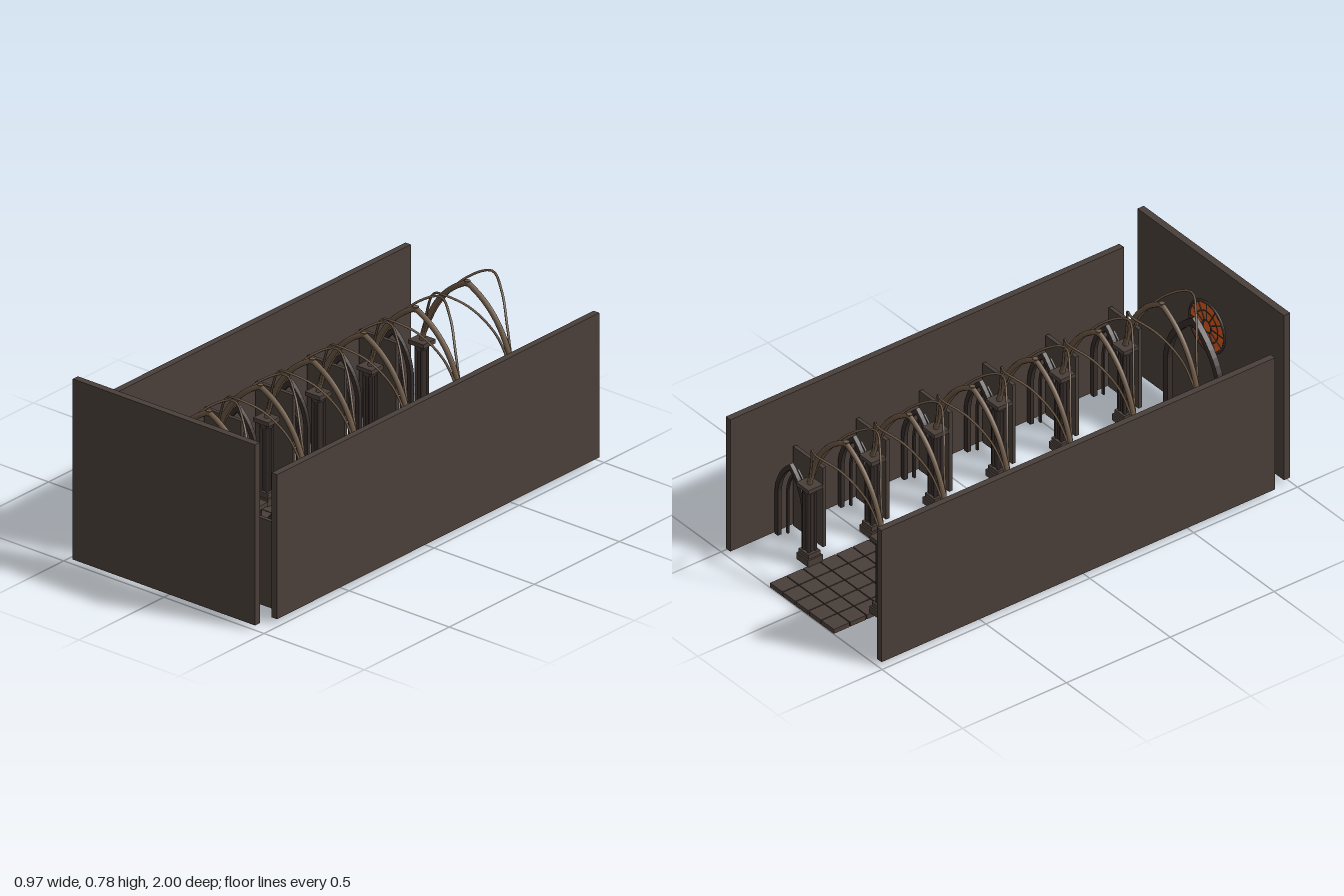
import * as THREE from 'three';

const mat = (color) => new THREE.MeshStandardMaterial({ color });
const stone = mat(0x4a3f3a), dark = mat(0x362d2a), rib = mat(0x6b5744), wood = mat(0x5a4028), glow = mat(0xd9571c);

function add(parent, name, geometry, material, x = 0, y = 0, z = 0) {
  const mesh = new THREE.Mesh(geometry, material);
  mesh.name = name;
  mesh.position.set(x, y, z);
  parent.add(mesh);
  return mesh;
}
const box = (parent, name, m, w, h, d, x, y, z) => add(parent, name, new THREE.BoxGeometry(w, h, d), m, x, y, z);
const cyl = (parent, name, m, r0, r1, h, x, y, z, n = 12) => add(parent, name, new THREE.CylinderGeometry(r0, r1, h, n), m, x, y, z);

// Traces a pointed arch outline from the left foot over the apex to the right foot
function tracePointed(path, half, spring, top) {
  path.moveTo(-half, 0);
  path.lineTo(-half, spring);
  path.quadraticCurveTo(-half * 0.9, spring + (top - spring) * 0.6, 0, top);
  path.quadraticCurveTo(half * 0.9, spring + (top - spring) * 0.6, half, spring);
  path.lineTo(half, 0);
}

// Open-bottomed pointed frame, centred on z = 0
function pointedFrame(half, spring, top, band, depth) {
  const s = new THREE.Shape();
  tracePointed(s, half, spring, top);
  const i = half - band, t = top - band * 1.3;
  s.lineTo(i, 0);
  s.lineTo(i, spring);
  s.quadraticCurveTo(i * 0.9, spring + (t - spring) * 0.6, 0, t);
  s.quadraticCurveTo(-i * 0.9, spring + (t - spring) * 0.6, -i, spring);
  s.lineTo(-i, 0);
  s.closePath();
  const g = new THREE.ExtrudeGeometry(s, { depth, bevelEnabled: false, curveSegments: 10 });
  return g.translate(0, 0, -depth / 2);
}

// Clustered column with stepped base and capital
function column() {
  const g = new THREE.Group();
  g.name = 'column';
  box(g, 'plinth', stone, 0.074, 0.03, 0.07, 0, 0.035, 0);
  box(g, 'baseStep', stone, 0.06, 0.02, 0.058, 0, 0.06, 0);
  cyl(g, 'shaft', dark, 0.018, 0.018, 0.27, 0, 0.205, 0);
  for (let k = 0; k < 4; k++) {
    const a = Math.PI / 4 + k * Math.PI / 2;
    cyl(g, 'smallShaft', dark, 0.007, 0.007, 0.27, Math.cos(a) * 0.021, 0.205, Math.sin(a) * 0.021, 8);
  }
  cyl(g, 'bell', stone, 0.034, 0.022, 0.025, 0, 0.345, 0);
  box(g, 'capital', stone, 0.076, 0.018, 0.07, 0, 0.365, 0);
  return g;
}

// Transverse pointed arch and the two thin bowed ribs beside it
function vault() {
  const g = new THREE.Group();
  g.name = 'vault';
  for (const s of [1, -1]) {
    const half = new THREE.QuadraticBezierCurve3(
      new THREE.Vector3(s * 0.228, 0.37, 0), new THREE.Vector3(s * 0.18, 0.6, 0), new THREE.Vector3(0, 0.682, 0));
    add(g, 'mainRib', new THREE.TubeGeometry(half, 20, 0.011, 8), rib);
    const pts = [[-0.228, 0.37, 0], [-0.17, 0.53, 0.035], [-0.09, 0.64, 0.095], [0, 0.682, 0.142],
      [0.09, 0.64, 0.095], [0.17, 0.53, 0.035], [0.228, 0.37, 0]];
    const bow = new THREE.CatmullRomCurve3(pts.map(([x, y, z]) => new THREE.Vector3(x, y, s * z)));
    add(g, 'thinRib', new THREE.TubeGeometry(bow, 40, 0.005, 6), rib);
  }
  cyl(g, 'keystone', rib, 0.012, 0.009, 0.022, 0, 0.68, 0);
  return g;
}

// Aisle niche: nested pointed frames before a slab with a glowing slit
function niche() {
  const g = new THREE.Group();
  g.name = 'niche';
  add(g, 'outerFrame', pointedFrame(0.093, 0.2, 0.37, 0.02, 0.018), dark, 0, 0.02, 0.013);
  add(g, 'innerFrame', pointedFrame(0.072, 0.19, 0.33, 0.012, 0.008), dark, 0, 0.02, 0.046);
  box(g, 'backSlab', stone, 0.186, 0.365, 0.016, 0, 0.2025, 0.1);
  box(g, 'glowingSlit', glow, 0.016, 0.17, 0.008, 0, 0.18, 0.09);
  return g;
}

// Round window with ring, spokes and petals
function roseWindow() {
  const g = new THREE.Group();
  g.name = 'roseWindow';
  const pane = cyl(g, 'glass', glow, 0.106, 0.106, 0.004, 0, 0, 0, 40);
  pane.rotation.x = Math.PI / 2;
  add(g, 'outerRing', new THREE.TorusGeometry(0.108, 0.006, 8, 48), dark);
  add(g, 'middleRing', new THREE.TorusGeometry(0.068, 0.004, 6, 40), dark);
  add(g, 'hub', new THREE.TorusGeometry(0.026, 0.005, 6, 24), dark);
  for (let k = 0; k < 12; k++) {
    const a = k * Math.PI / 6;
    const spoke = box(g, 'spoke', dark, 0.08, 0.005, 0.008, Math.cos(a) * 0.066, Math.sin(a) * 0.066, 0);
    spoke.rotation.z = a;
  }
  return g;
}

export function createModel() {
  const model = new THREE.Group();
  model.name = 'vaultedHall';

  // Paved floor
  const floor = new THREE.Group();
  floor.name = 'floor';
  model.add(floor);
  const pitch = 1.91 / 24;
  const tile = new THREE.BoxGeometry(0.076, 0.02, pitch - 0.004);
  for (let i = 0; i < 5; i++)
    for (let j = 0; j < 24; j++)
      add(floor, 'tile', tile, stone, (i - 2) * 0.08, 0.01, -1 + (j + 0.5) * pitch);

  // Enclosing walls
  box(model, 'endWall', stone, 0.91, 0.76, 0.03, 0, 0.4, 0.985);
  for (const s of [1, -1]) box(model, 'sideWall', stone, 0.028, 0.608, 1.895, s * 0.47, 0.325, -0.0425);

  // Six bays of columns, vaults and niches
  for (let i = 0; i < 6; i++) {
    const bay = new THREE.Group();
    bay.name = 'bay';
    bay.position.z = -0.785 + i * 0.304;
    model.add(bay);
    bay.add(vault());
    for (const s of [1, -1]) {
      const c = column();
      c.position.x = s * 0.228;
      const n = niche();
      n.position.x = s * 0.357;
      bay.add(c, n);
    }
  }

  // Altar on its platform
  const altar = new THREE.Group();
  altar.name = 'altar';
  altar.position.z = 0.635;
  model.add(altar);
  box(altar, 'platform', stone, 0.24, 0.02, 0.17, 0, 0.03, 0);
  box(altar, 'altarBlock', stone, 0.13, 0.06, 0.05, 0, 0.07, 0.005);
  box(altar, 'altarTop', wood, 0.165, 0.012, 0.065, 0, 0.106, 0.005);

  // Low stands along the nave
  for (const z of [0.05, 0.35, 0.64])
    for (const s of [1, -1]) {
      box(model, 'standFoot', dark, 0.034, 0.012, 0.05, s * 0.148, 0.026, z);
      cyl(model, 'standPost', dark, 0.006, 0.008, 0.07, s * 0.148, 0.065, z, 8);
    }

  // Great arch and rose window before the end wall
  add(model, 'greatArch', pointedFrame(0.18, 0.27, 0.54, 0.026, 0.024), dark, 0, 0.02, 0.892);
  const rose = roseWindow();
  rose.position.set(0, 0.49, 0.953);
  model.add(rose);
  return model;
}
